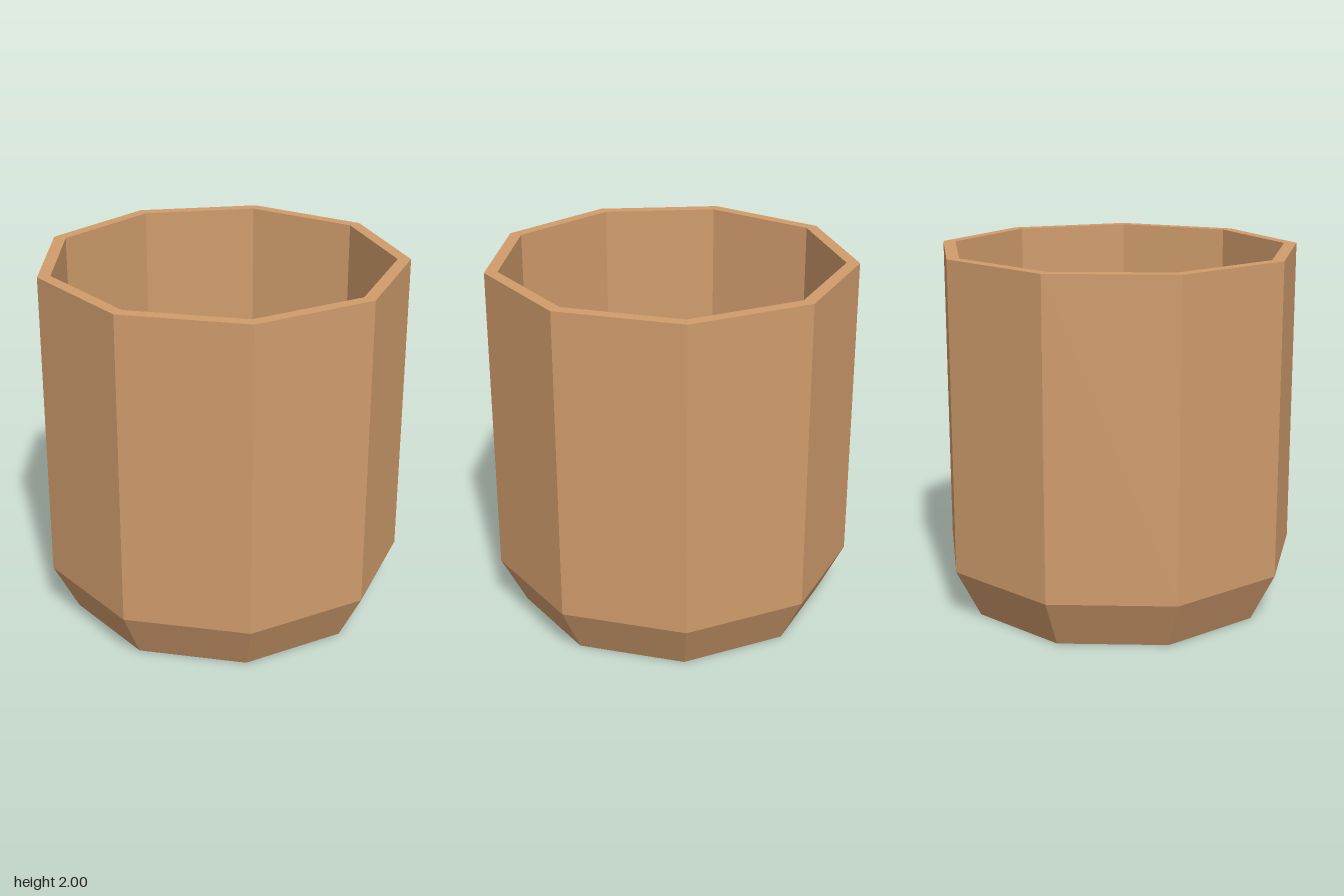
import * as THREE from 'three';

const SIDES = 9;

export function createModel() {
  const group = new THREE.Group();
  group.name = 'cup';

  // Closed wall profile: underside, tapered foot, outer wall, rim, inner wall, floor
  const profile = [
    [0, 0], [0.865, 0], [1.005, 0.275], [1.005, 2],
    [0.934, 2], [0.934, 0.29], [0.819, 0.066], [0, 0.066],
  ].map(([r, y]) => new THREE.Vector2(r, y));

  // Nine flat sides, with a corner at the back and a flat face at the front
  const geometry = new THREE.LatheGeometry(profile, SIDES, Math.PI).toNonIndexed();
  geometry.computeVertexNormals();

  const material = new THREE.MeshStandardMaterial({ color: 0xd09c6c, flatShading: true });
  const body = new THREE.Mesh(geometry, material);
  body.name = 'cupBody';
  body.position.z = 0.03; // centres the odd-sided outline
  group.add(body);

  return group;
}
